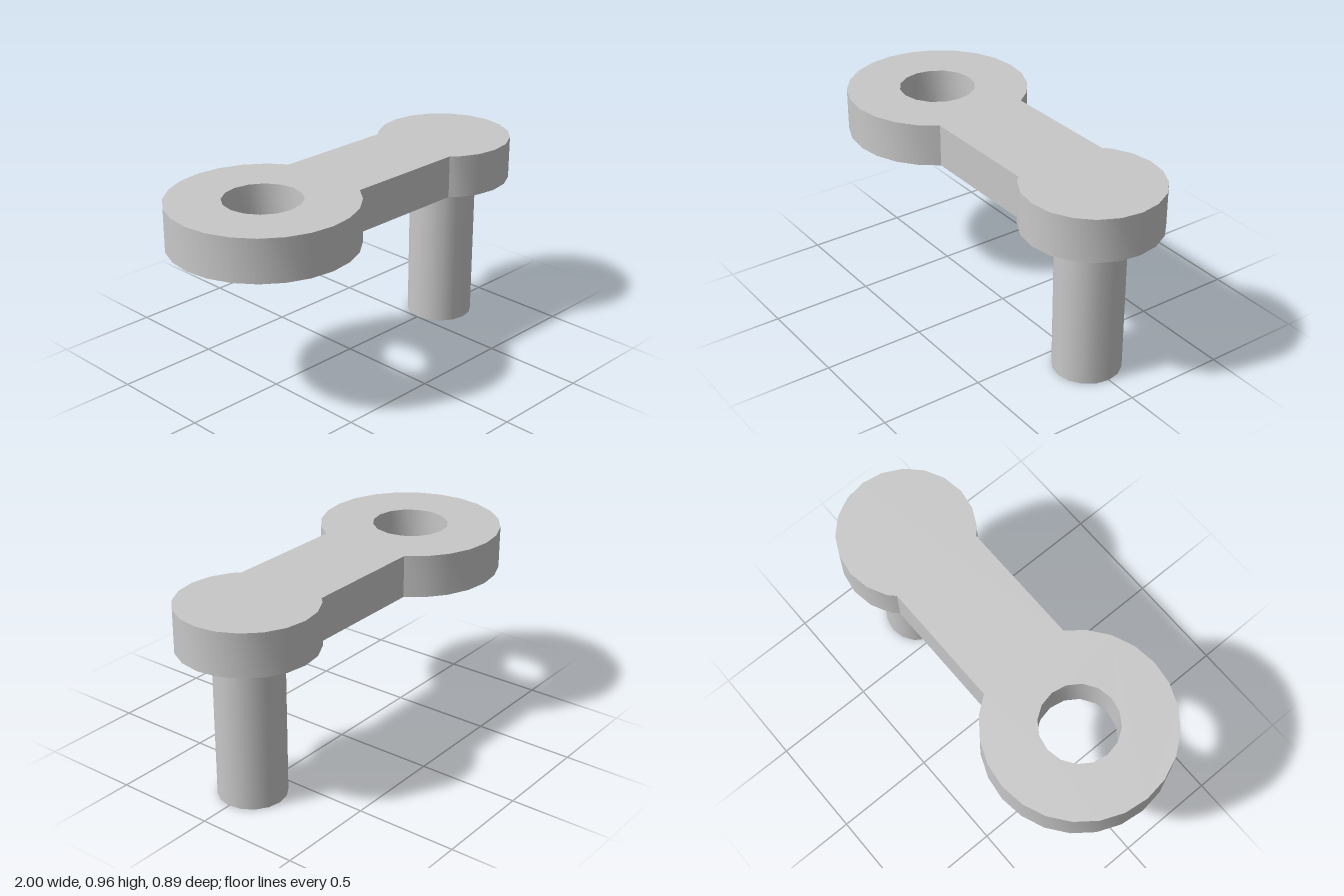
import * as THREE from 'three';
import { toCreasedNormals } from 'three/addons/utils/BufferGeometryUtils.js';

const EYE = { x: -0.553, r: 0.447, hole: 0.187 };
const BOSS = { x: 0.67, r: 0.33 };
const BAR_HALF = 0.235;
const BOTTOM = 0.755, TOP = 0.965;

// Points on a faceted arc; angles in degrees, ends included
function arc(cx, r, from, to, step) {
  const points = [];
  for (let a = from; a <= to; a += step) {
    const t = THREE.MathUtils.degToRad(a);
    points.push(new THREE.Vector2(cx + r * Math.cos(t), r * Math.sin(t)));
  }
  return points;
}

export function createModel() {
  const model = new THREE.Group();
  model.name = 'crankLink';

  const grey = new THREE.MeshStandardMaterial({ color: 0xc8c8c8 });
  grey.name = 'plain grey';

  // Link plate: large eye, straight bar and smaller round end in one outline
  const outline = new THREE.Shape([
    ...arc(EYE.x, EYE.r, 45, 315, 15),
    new THREE.Vector2(-0.175, -BAR_HALF),
    new THREE.Vector2(0.444, -BAR_HALF),
    ...arc(BOSS.x, BOSS.r, -126, 126, 18),
    new THREE.Vector2(0.444, BAR_HALF),
    new THREE.Vector2(-0.175, BAR_HALF),
  ]);
  outline.holes.push(new THREE.Path(arc(EYE.x, EYE.hole, 0, 337.5, 22.5).reverse()));
  const plateGeometry = new THREE.ExtrudeGeometry(outline, { depth: TOP - BOTTOM, bevelEnabled: false });
  plateGeometry.rotateX(-Math.PI / 2).translate(0, BOTTOM, 0);
  const plate = new THREE.Mesh(toCreasedNormals(plateGeometry, 0.5), grey);
  plate.name = 'linkPlate';
  model.add(plate);

  // Pin hanging below the small end
  const pin = new THREE.Mesh(new THREE.CylinderGeometry(0.165, 0.165, BOTTOM, 16), grey);
  pin.name = 'pin';
  pin.position.set(BOSS.x, BOTTOM / 2, 0);
  model.add(pin);

  return model;
}
